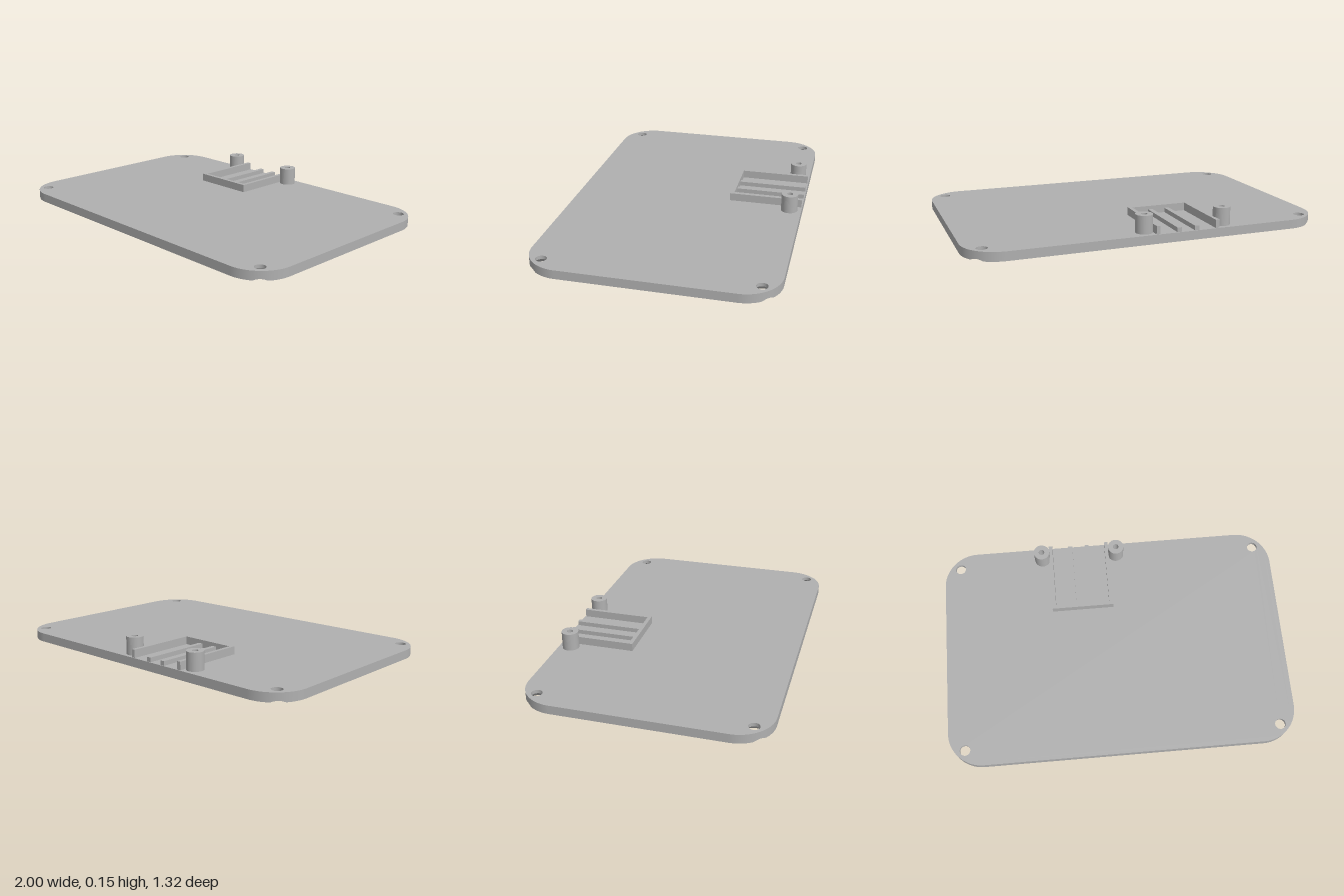
import * as THREE from 'three';

const T = 0.05;                               // plate thickness
const CX = 0.8, CZ = 0.462, R = 0.2;          // corner arc centres and radius
const HX = 0.905, HZ = 0.568, HR = 0.03;      // screw holes
const SINK = 0.06;                            // countersink radius at the underside
const FX = 0.77, FZ = 0.465, FR = 0.09, FD = 0.025; // foot recesses
const CORNERS = [[1, 1], [-1, 1], [-1, -1], [1, -1]];

// Closed band between two rings of Vector3
function band(a, b) {
  const n = a.length, g = new THREE.BufferGeometry().setFromPoints([...a, ...b]);
  const index = [];
  for (let i = 0; i < n; i++) {
    const j = (i + 1) % n;
    index.push(i, n + i, j, j, n + i, n + j);
  }
  g.setIndex(index);
  g.computeVertexNormals();
  return g;
}

// Ring around (x, z) whose radius and height may depend on the angle
function ring(x, z, radius, height, n = 72) {
  return Array.from({ length: n }, (_, i) => {
    const t = (i / n) * Math.PI * 2, r = radius(t);
    return new THREE.Vector3(x + r * Math.cos(t), height(r), z + r * Math.sin(t));
  });
}

const arc = (x, y, r, from, to, n) => Array.from({ length: n + 1 }, (_, i) => {
  const t = from + (to - from) * i / n;
  return new THREE.Vector2(x + r * Math.cos(t), y + r * Math.sin(t));
});

function circleHole(x, y, r) {
  return new THREE.Path(arc(x, y, r, 0, -Math.PI * 2, 72).slice(0, -1));
}

export function createModel() {
  const model = new THREE.Group();
  model.name = 'mountingPlate';
  const grey = new THREE.MeshStandardMaterial({ color: 0xb0b0b0 });
  grey.name = 'grey plastic';
  const add = (name, geometry, parent = model) => {
    const mesh = new THREE.Mesh(geometry, grey);
    mesh.name = name;
    parent.add(mesh);
    return mesh;
  };

  // Outlines of the top and of the underside, whose corners are bitten by the countersinks
  const outline = [], under = [];
  const dx = HX - CX, dz = HZ - CZ, D = Math.hypot(dx, dz);
  const alpha = Math.acos((R * R + D * D - SINK * SINK) / (2 * R * D));
  const beta = Math.atan2(R * Math.sin(alpha), R * Math.cos(alpha) - D);
  CORNERS.forEach(([sx, sz], k) => {
    const a0 = k * Math.PI / 2, a1 = a0 + Math.PI / 2;
    let phi = Math.atan2(sz * dz, sx * dx);
    if (phi < 0) phi += Math.PI * 2;
    const x = sx * CX, z = sz * CZ;
    outline.push(...arc(x, z, R, a0, a1, 48));
    under.push(
      ...arc(x, z, R, a0, phi - alpha, 16),
      ...arc(sx * HX, sz * HZ, SINK, phi - beta, phi + beta - Math.PI * 2, 48).slice(1, -1),
      ...arc(x, z, R, phi + alpha, a1, 16));
  });

  const plate = new THREE.Group();
  plate.name = 'plate';
  model.add(plate);

  const topShape = new THREE.Shape(outline), underShape = new THREE.Shape(under);
  for (const [sx, sz] of CORNERS) {
    topShape.holes.push(circleHole(sx * HX, sz * HZ, HR));
    underShape.holes.push(circleHole(sx * FX, sz * FZ, FR));
  }
  add('plateTop', new THREE.ShapeGeometry(topShape).rotateX(-Math.PI / 2).translate(0, T, 0), plate);
  add('plateUnderside', new THREE.ShapeGeometry(underShape).rotateX(Math.PI / 2), plate);

  // Rim, notched where the countersinks break through
  const notch = p => Math.max(0, SINK - Math.hypot(Math.abs(p.x) - HX, Math.abs(p.y) - HZ));
  add('plateRim', band(
    outline.map(p => new THREE.Vector3(p.x, notch(p), p.y)),
    outline.map(p => new THREE.Vector3(p.x, T, p.y))), plate);

  // Countersunk screw holes and foot recesses
  for (const [sx, sz] of CORNERS) {
    const x = sx * HX, z = sz * HZ;
    const reach = t => {
      const q = sx * dx * Math.cos(t) + sz * dz * Math.sin(t);
      return Math.min(SINK, -q + Math.sqrt(q * q - D * D + R * R));
    };
    const neck = ring(x, z, () => HR, () => SINK - HR);
    add('screwHoleWall', band(ring(x, z, () => HR, () => T), neck), plate);
    add('countersink', band(neck, ring(x, z, reach, r => SINK - r)), plate);

    const fx = sx * FX, fz = sz * FZ;
    add('footRecessWall', band(ring(fx, fz, () => FR, () => FD), ring(fx, fz, () => FR, () => 0)), plate);
    add('footRecessFloor', new THREE.CircleGeometry(FR, 72).rotateX(Math.PI / 2).translate(fx, FD, fz), plate);
  }

  // Tray: two side walls, a front wall and two low ribs, open at the back
  const tray = new THREE.Group();
  tray.name = 'tray';
  model.add(tray);
  const block = (name, x0, x1, z0, z1, h) =>
    add(name, new THREE.BoxGeometry(x1 - x0, h, z1 - z0), tray)
      .position.set((x0 + x1) / 2, T + h / 2, (z0 + z1) / 2);
  const back = -0.657, inner = -0.262;
  block('traySideWall', -0.355, -0.333, back, inner, 0.045);
  block('traySideWall', -0.012, 0.01, back, inner, 0.045);
  block('trayFrontWall', -0.355, 0.01, inner, -0.24, 0.045);
  block('trayRib', -0.236, -0.21, back, inner, 0.025);
  block('trayRib', -0.135, -0.109, back, inner, 0.025);

  // Screw posts with blind bores
  const post = new THREE.Shape(arc(0, 0, 0.047, 0, Math.PI * 2, 48).slice(0, -1));
  post.holes.push(circleHole(0, 0, 0.017));
  const postGeometry = new THREE.ExtrudeGeometry(post, { depth: 0.1, bevelEnabled: false })
    .rotateX(-Math.PI / 2);
  for (const x of [-0.398, 0.055]) add('screwPost', postGeometry).position.set(x, T, -0.593);

  return model;
}
